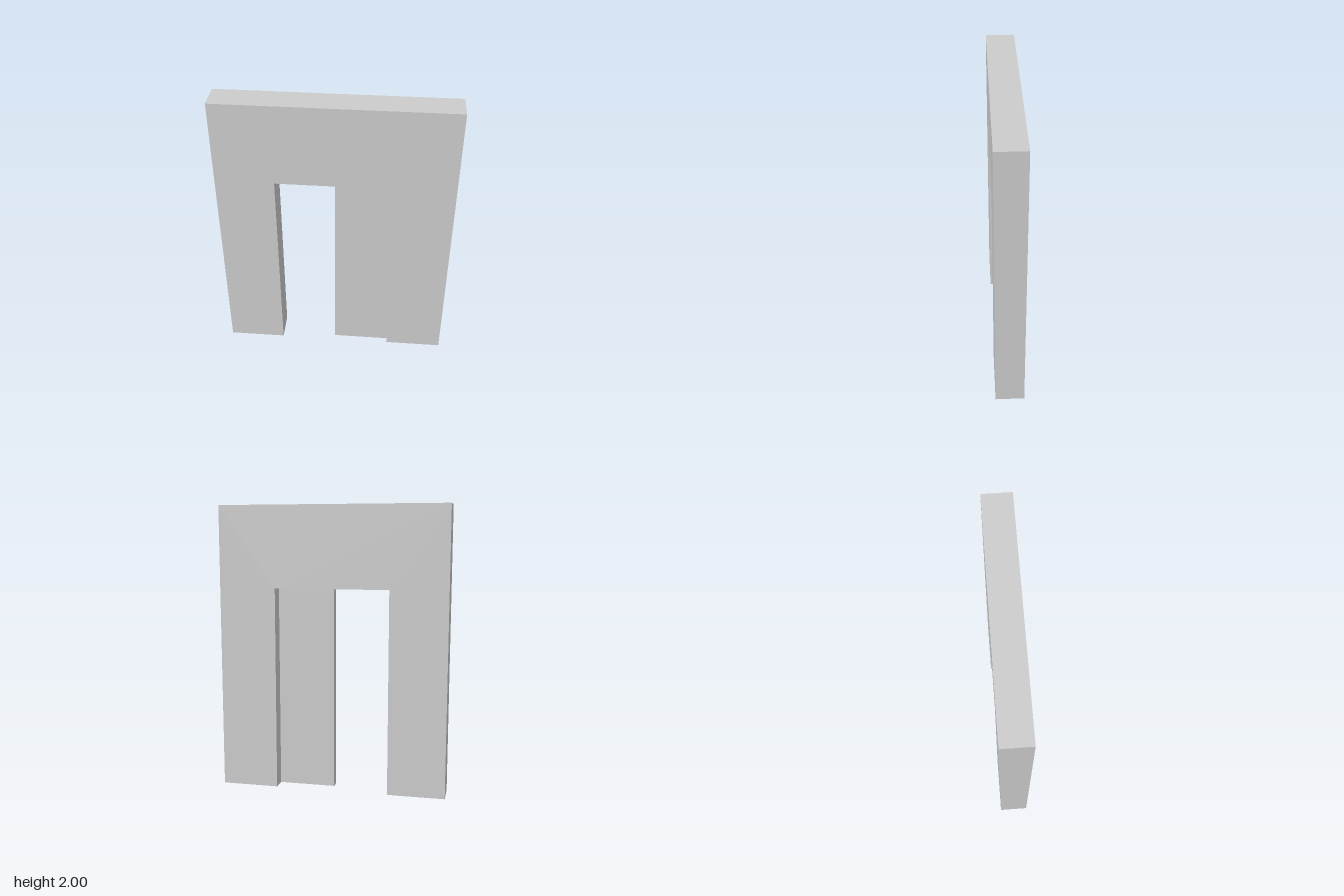
import * as THREE from 'three';

const W = 0.8, H = 2, D = 0.1;            // half width, height, half depth of the wall
const OPEN_W = 0.4, OPEN_H = 1.43;        // half width and height of the doorway
const RIB_X = 0.57;                       // hollow legs are divided here

export function createModel() {
  const group = new THREE.Group();
  group.name = 'slidingDoorway';

  const grey = new THREE.MeshStandardMaterial({ color: 0xcccccc, side: THREE.DoubleSide });
  grey.name = 'plain grey';

  const add = (name, geometry, x = 0, y = 0, z = 0) => {
    const mesh = new THREE.Mesh(geometry, grey);
    mesh.name = name;
    mesh.position.set(x, y, z);
    group.add(mesh);
    return mesh;
  };

  // Front and back skins, with the doorway cut from the lower edge
  const outline = new THREE.Shape([
    [-W, 0], [-OPEN_W, 0], [-OPEN_W, OPEN_H], [OPEN_W, OPEN_H],
    [OPEN_W, 0], [W, 0], [W, H], [-W, H],
  ].map(([x, y]) => new THREE.Vector2(x, y)));
  add('wallFront', new THREE.ShapeGeometry(outline), 0, 0, D);
  add('wallBack', new THREE.ShapeGeometry(outline).rotateY(Math.PI), 0, 0, -D);

  // Upright faces across the depth; the legs stay open underneath
  const upright = (name, x, height, facing) =>
    add(name, new THREE.PlaneGeometry(2 * D, height).rotateY(facing * Math.PI / 2), x, height / 2);
  for (const [label, s] of [['left', 1], ['right', -1]]) {
    upright(label + 'OuterSide', s * W, H, s);
    upright(label + 'Jamb', s * OPEN_W, OPEN_H, -s);
    upright(label + 'InnerRib', s * RIB_X, OPEN_H, s);
  }

  // Wall top and underside of the lintel
  add('wallTop', new THREE.PlaneGeometry(2 * W, 2 * D).rotateX(-Math.PI / 2), 0, H);
  add('lintelUnderside', new THREE.PlaneGeometry(2 * OPEN_W, 2 * D).rotateX(Math.PI / 2), 0, OPEN_H);

  // Sliding door, half open, running into the hollow left leg
  const doorEnd = W - 0.005, doorHeight = OPEN_H - 0.002;
  add('slidingDoor', new THREE.BoxGeometry(doorEnd, doorHeight, 0.06), doorEnd / 2, doorHeight / 2, 0.03);

  return group;
}
